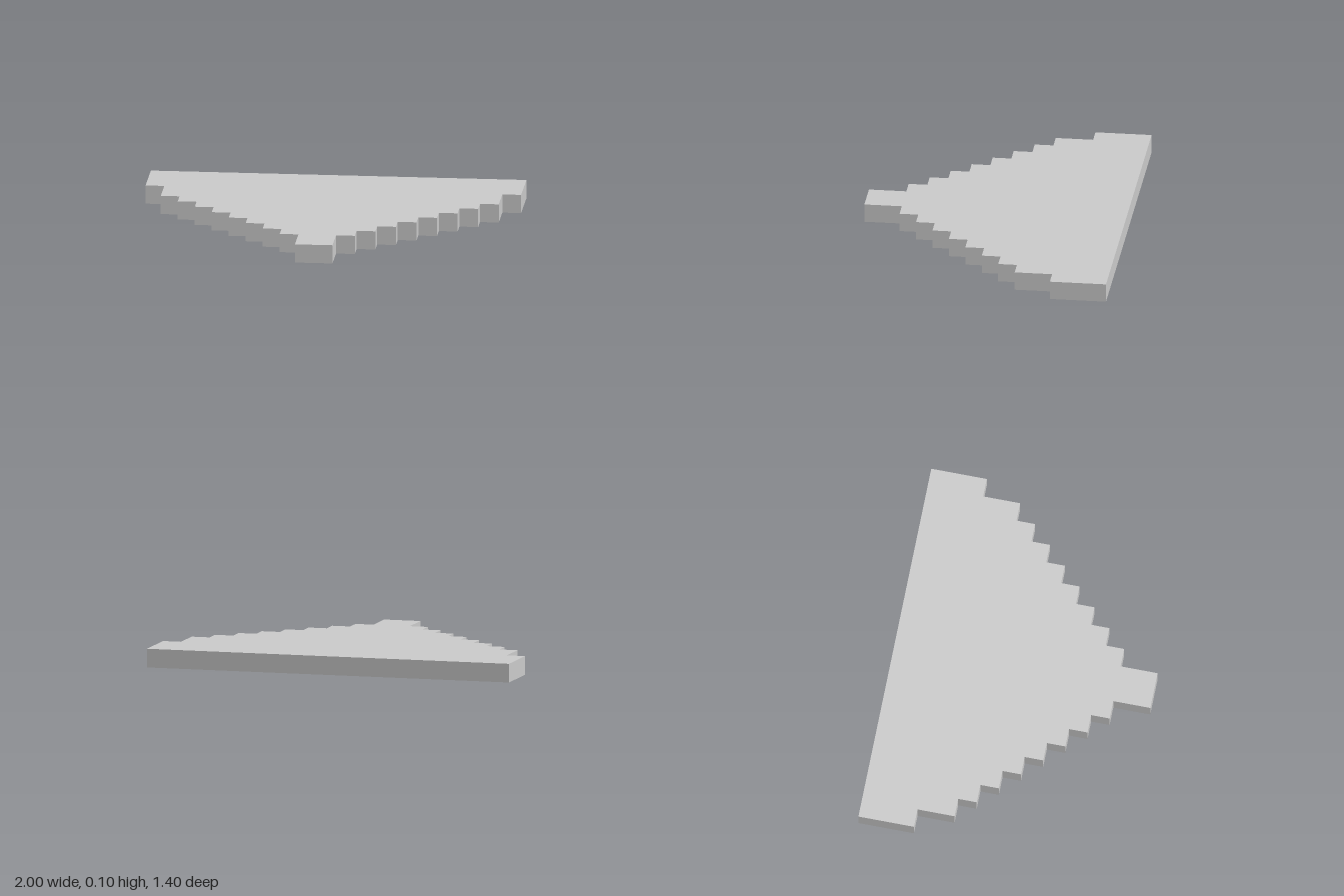
import * as THREE from 'three';

const HEIGHT = 0.1;
const BACK = -0.7;
// Front edge (z) of each step; the half width shrinks by 0.1 per step, from 1.0 to 0.1
const STEP_FRONTS = [-0.4, -0.2, -0.1, 0, 0.1, 0.2, 0.3, 0.4, 0.5, 0.7];

// Stepped triangular outline, with shape y standing for z
function steppedOutline() {
  const right = [];
  let z = BACK;
  STEP_FRONTS.forEach((front, i) => {
    const halfWidth = (10 - i) / 10;
    right.push(new THREE.Vector2(halfWidth, z), new THREE.Vector2(halfWidth, front));
    z = front;
  });
  const left = right.map((p) => new THREE.Vector2(-p.x, p.y)).reverse();
  return new THREE.Shape([...right, ...left]);
}

export function createModel() {
  const group = new THREE.Group();
  group.name = 'steppedTriangle';

  // Flat slab lying on the ground
  const geometry = new THREE.ExtrudeGeometry(steppedOutline(), { depth: HEIGHT, bevelEnabled: false });
  geometry.rotateX(Math.PI / 2).translate(0, HEIGHT, 0);
  const material = new THREE.MeshStandardMaterial({ color: 0xcccccc, flatShading: true });
  const slab = new THREE.Mesh(geometry, material);
  slab.name = 'steppedSlab';
  group.add(slab);

  return group;
}
